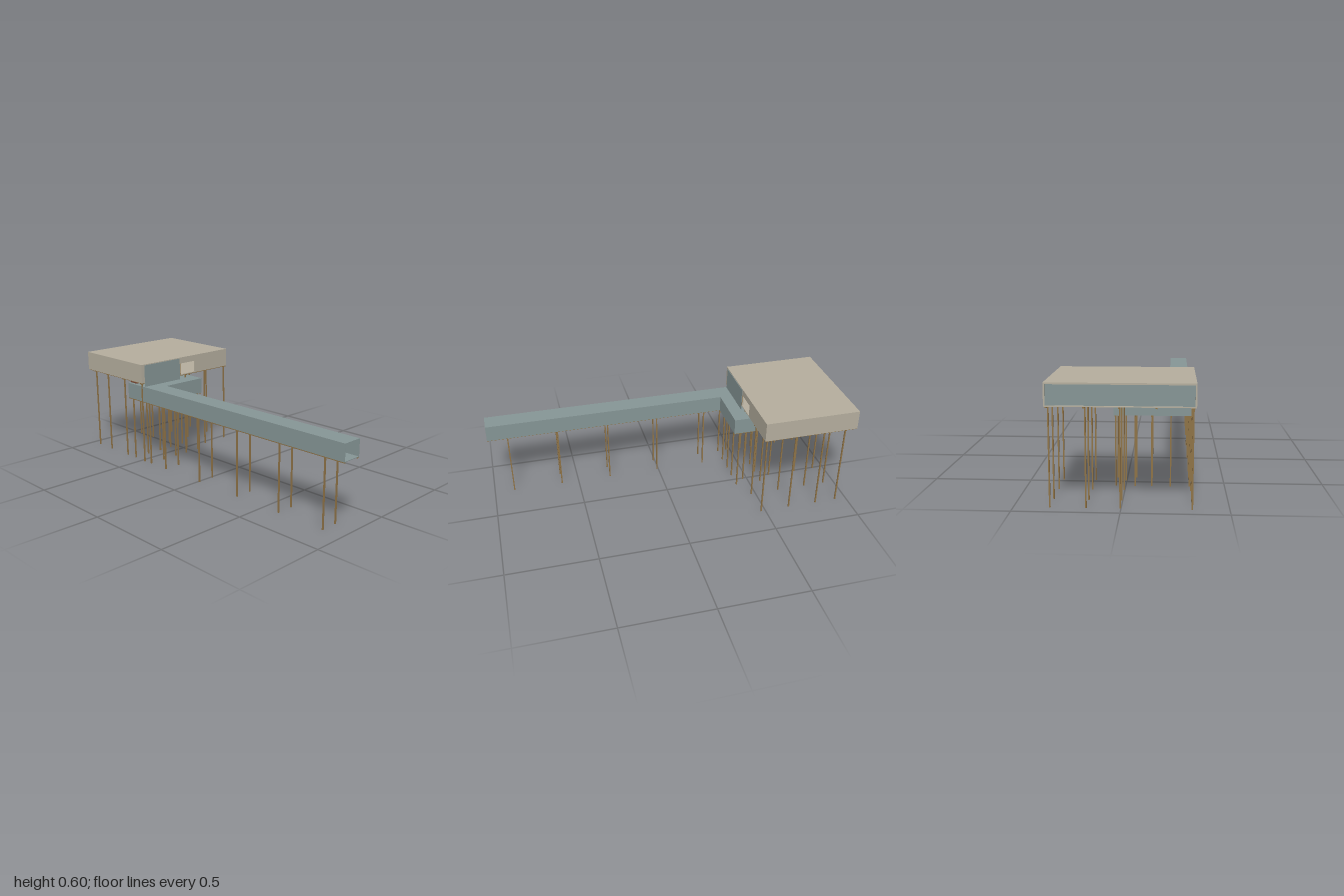
import * as THREE from 'three';

const mat = (name, color) => new THREE.MeshStandardMaterial({ name, color });

export function createModel() {
  const root = new THREE.Group();
  const concrete = mat('warm concrete', 0xb5ae9e);
  const panel = mat('blue grey cladding', 0x869696);
  const timber = mat('timber', 0x8f7347);
  const leather = mat('red brown furniture', 0x70402e);

  // box given by its extents on each axis
  function slab(parent, name, material, x0, x1, y0, y1, z0, z1) {
    const mesh = new THREE.Mesh(new THREE.BoxGeometry(x1 - x0, y1 - y0, z1 - z0), material);
    mesh.position.set((x0 + x1) / 2, (y0 + y1) / 2, (z0 + z1) / 2);
    mesh.name = name;
    parent.add(mesh);
    return mesh;
  }
  function group(name) {
    const g = new THREE.Group();
    g.name = name;
    root.add(g);
    return g;
  }
  const T = 0.003; // cladding thickness
  const P = 0.0035; // half post width

  // Raised pavilion: roof, floor and walls, with a doorway in the right side
  const house = group('pavilion');
  slab(house, 'roof', concrete, -1, -0.46, 0.587, 0.595, -0.34, 0.34);
  slab(house, 'floor', concrete, -1, -0.46, 0.486, 0.491, -0.34, 0.34);
  slab(house, 'frontWall', concrete, -1, -0.46, 0.491, 0.587, 0.333, 0.34);
  slab(house, 'backWall', concrete, -1, -0.46, 0.491, 0.587, -0.34, -0.333);
  slab(house, 'sideWall', concrete, -0.467, -0.46, 0.491, 0.587, 0.045, 0.333);
  slab(house, 'sideWall', concrete, -0.467, -0.46, 0.491, 0.587, -0.333, -0.072);
  slab(house, 'doorHead', concrete, -0.467, -0.46, 0.558, 0.587, -0.072, 0.045);
  slab(house, 'doorJamb', timber, -0.465, -0.458, 0.491, 0.558, 0.045, 0.048);
  slab(house, 'windowWall', panel, -0.993, -0.99, 0.491, 0.587, -0.333, 0.333);
  slab(house, 'stairScreen', panel, -0.462, -0.457, 0.46, 0.59, 0.052, 0.318);

  // Sofa, two armchairs and a table inside the doorway
  const furniture = group('furniture');
  slab(furniture, 'sofa', leather, -0.93, -0.9, 0.491, 0.507, -0.12, 0.1);
  for (const side of [-1, 1]) {
    const z = -0.013 + side * 0.035;
    slab(furniture, 'chairSeat', leather, -0.76, -0.73, 0.496, 0.501, z - 0.011, z + 0.011);
    const back = slab(furniture, 'chairBack', leather, -0.76, -0.73, 0.496, 0.515, z + side * 0.01 - 0.002, z + side * 0.01 + 0.002);
    back.rotation.x = side * 0.2;
    for (const x of [-0.759, -0.733])
      slab(furniture, 'chairArm', leather, x, x + 0.003, 0.491, 0.506, z - 0.01, z + 0.01);
  }
  slab(furniture, 'tableTop', leather, -0.77, -0.72, 0.508, 0.51, -0.027, 0.001);
  slab(furniture, 'tableLeg', leather, -0.748, -0.742, 0.491, 0.508, -0.016, -0.01);

  // Long walkway tube, open at its far end
  const walk = group('walkway');
  slab(walk, 'walkwayRoof', panel, -0.61, 1, 0.463 - T, 0.463, 0.217, 0.327);
  slab(walk, 'walkwayFloor', panel, -0.61, 1, 0.372, 0.372 + T, 0.217, 0.327);
  slab(walk, 'walkwayFrontWall', panel, -0.61, 1, 0.375, 0.46, 0.327 - T, 0.327);
  slab(walk, 'walkwayBackWall', panel, -0.388, 1, 0.375, 0.46, 0.217, 0.217 + T);

  // Short wing that turns back beneath the pavilion
  const wing = group('wing');
  slab(wing, 'wingRoof', panel, -0.61, -0.385, 0.463 - T, 0.463, -0.058, 0.217);
  slab(wing, 'wingFloor', panel, -0.61, -0.385, 0.372, 0.372 + T, -0.058, 0.217);
  slab(wing, 'wingOuterWall', panel, -0.388, -0.385, 0.375, 0.46, -0.058, 0.217);
  slab(wing, 'wingInnerWall', panel, -0.61, -0.607, 0.375, 0.46, -0.058, 0.324);
  slab(wing, 'wingEndWall', panel, -0.607, -0.388, 0.375, 0.46, -0.058, -0.055);

  // Steps from the wing up to the pavilion
  const stairs = group('stairs');
  for (let i = 0; i < 3; i++)
    slab(stairs, 'stairTread', leather, -0.61, -0.55 - i * 0.018, 0.464 + i * 0.007, 0.468 + i * 0.007, 0.23, 0.31);

  // Timber posts and floor beams
  const frame = group('timberFrame');
  const post = (name, x, z, top) => slab(frame, name, timber, x - P, x + P, 0, top, z - P, z + P);
  const houseX = [-0.934, -0.81, -0.643, -0.475];
  const houseZ = [-0.33, -0.162, -0.004, 0.328];
  for (const x of houseX) {
    for (const z of houseZ) post('pavilionPost', x, z, 0.48);
    slab(frame, 'pavilionBeam', timber, x - P, x + P, 0.479, 0.486, -0.34, 0.34);
  }
  for (const z of [...houseZ, 0.162])
    slab(frame, 'pavilionCrossBeam', timber, -1, -0.46, 0.48, 0.486, z - P, z + P);

  const walkX = [-0.57, -0.42, -0.285, 0.008, 0.305, 0.6, 0.885];
  for (const x of walkX) {
    for (const z of [0.322, 0.226]) post('walkwayPost', x, z, 0.368);
    slab(frame, 'walkwayCrossBeam', timber, x - P, x + P, 0.366, 0.372, 0.218, 0.326);
  }
  for (const z of [0.322, 0.226])
    slab(frame, 'walkwayBeam', timber, -0.61, 1, 0.367, 0.372, z - P, z + P);

  for (const z of [0.131, 0.048, -0.05]) {
    for (const x of [-0.57, -0.42]) post('wingPost', x, z, 0.368);
    slab(frame, 'wingCrossBeam', timber, -0.608, -0.387, 0.366, 0.372, z - P, z + P);
  }
  for (const x of [-0.57, -0.42])
    slab(frame, 'wingBeam', timber, x - P, x + P, 0.367, 0.372, -0.056, 0.218);

  return root;
}
